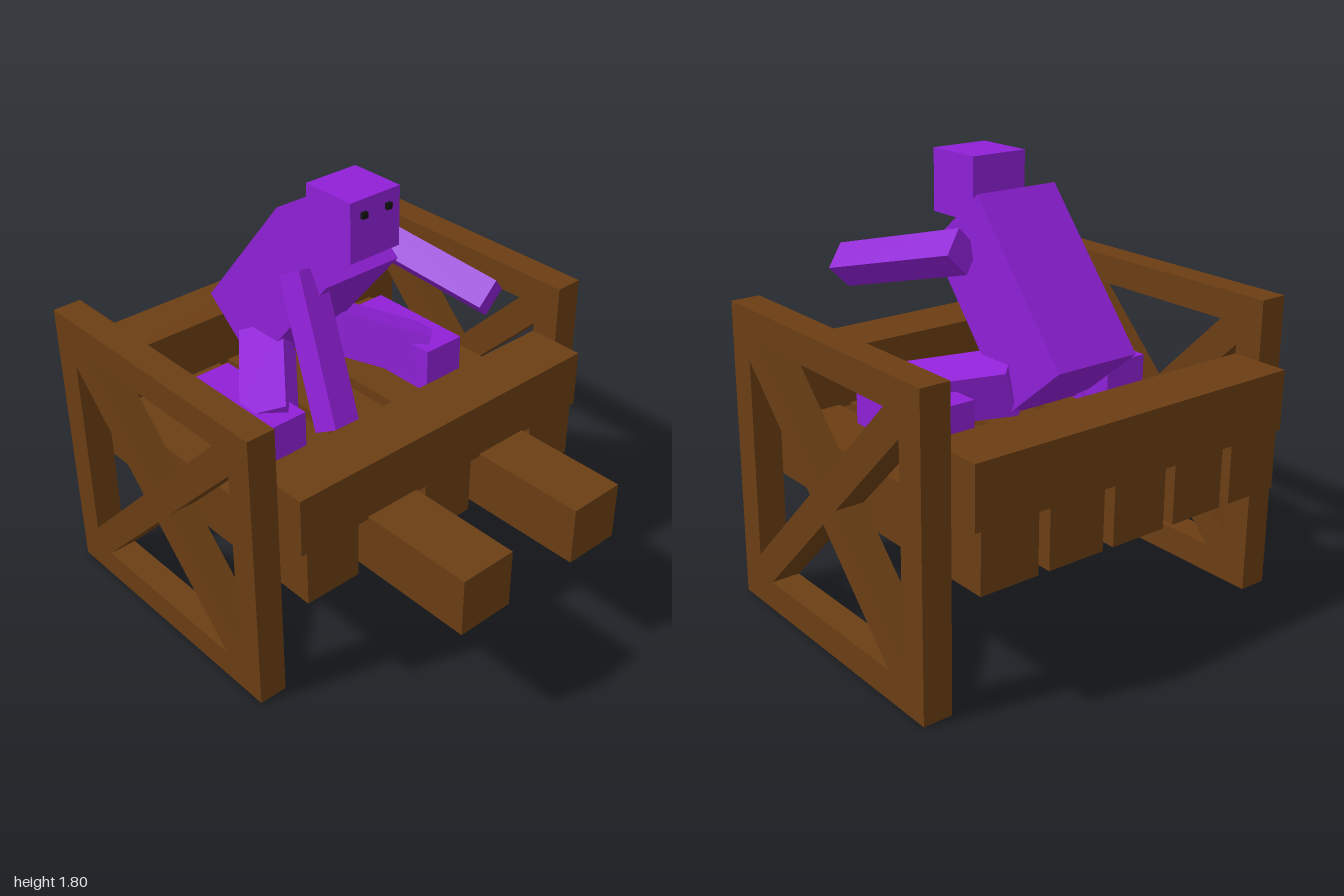
import * as THREE from 'three';

const wood = new THREE.MeshStandardMaterial({ color: 0x6b3e14 });
const purple = new THREE.MeshStandardMaterial({ color: 0x8f20d6 });
const black = new THREE.MeshStandardMaterial({ color: 0x111111 });
const deg = THREE.MathUtils.degToRad;

// Box by size and centre, with optional rotation in degrees
function box(parent, name, material, size, pos, rot = [0, 0, 0], order = 'ZXY') {
  const mesh = new THREE.Mesh(new THREE.BoxGeometry(...size), material);
  mesh.name = name;
  mesh.position.set(...pos);
  mesh.rotation.set(deg(rot[0]), deg(rot[1]), deg(rot[2]), order);
  parent.add(mesh);
  return mesh;
}

// Square side frame with a cross brace: a plate pierced by four triangles
function sideFrameGeometry() {
  const half = 0.622, inner = 0.5, gap = 0.088, depth = 0.122;
  const shape = new THREE.Shape([
    new THREE.Vector2(-half, -half), new THREE.Vector2(half, -half),
    new THREE.Vector2(half, half), new THREE.Vector2(-half, half),
  ]);
  for (let i = 0; i < 4; i++) {
    const corners = [[0, gap], [inner - gap, inner], [-inner + gap, inner]].map(([x, y]) =>
      new THREE.Vector2(x, y).rotateAround(new THREE.Vector2(), i * Math.PI / 2));
    shape.holes.push(new THREE.Path(corners));
  }
  const geo = new THREE.ExtrudeGeometry(shape, { depth, bevelEnabled: false });
  return geo.translate(0, 0, -depth / 2).rotateY(Math.PI / 2);
}

export function createModel() {
  const model = new THREE.Group();

  // Wooden cart
  const cart = new THREE.Group();
  cart.name = 'cart';
  model.add(cart);

  const frameGeo = sideFrameGeometry();
  for (const side of [-1, 1]) {
    const frame = new THREE.Mesh(frameGeo, wood);
    frame.name = side > 0 ? 'leftSideFrame' : 'rightSideFrame';
    frame.position.set(side * 0.811, 0.625, -0.25);
    cart.add(frame);
  }

  box(cart, 'frontBoard', wood, [1.5, 0.247, 0.25], [0, 0.877, 0.375]);
  box(cart, 'backBoard', wood, [1.5, 0.247, 0.25], [0, 0.877, -0.875]);

  // Floor planks, two of them projecting at the front
  for (let i = -2; i <= 2; i++) {
    const front = Math.abs(i) === 1 ? 1 : 0.5;
    box(cart, 'floorPlank', wood, [0.25, 0.25, front + 1], [i * 0.3, 0.64, (front - 1) / 2]);
  }

  // Seated figure
  const figure = new THREE.Group();
  figure.name = 'figure';
  model.add(figure);

  box(figure, 'torso', purple, [0.375, 0.74, 0.37], [0, 1.28, -0.38], [40, 0, 0]);
  box(figure, 'head', purple, [0.25, 0.25, 0.25], [0, 1.675, -0.055]);
  box(figure, 'leftArm', purple, [0.125, 0.125, 0.625], [0.312, 1.397, 0.03], [19.5, 0, 45]);
  box(figure, 'rightArm', purple, [0.125, 0.625, 0.125], [-0.234, 1.197, 0.009], [-30, 0, -10]);

  for (const side of [-1, 1]) {
    const label = side > 0 ? 'left' : 'right';
    box(figure, label + 'Eye', black, [0.025, 0.025, 0.025], [side * 0.062, 1.737, 0.073]);
    box(figure, label + 'Thigh', purple, [0.19, 0.19, 0.5],
      [side * 0.281, 0.938, -0.26], [0, side * 40, side * -20], 'ZYX');
    box(figure, label + 'Shin', purple, [0.195, 0.2, 0.497], [side * 0.432, 0.865, -0.212]);
  }

  return model;
}
